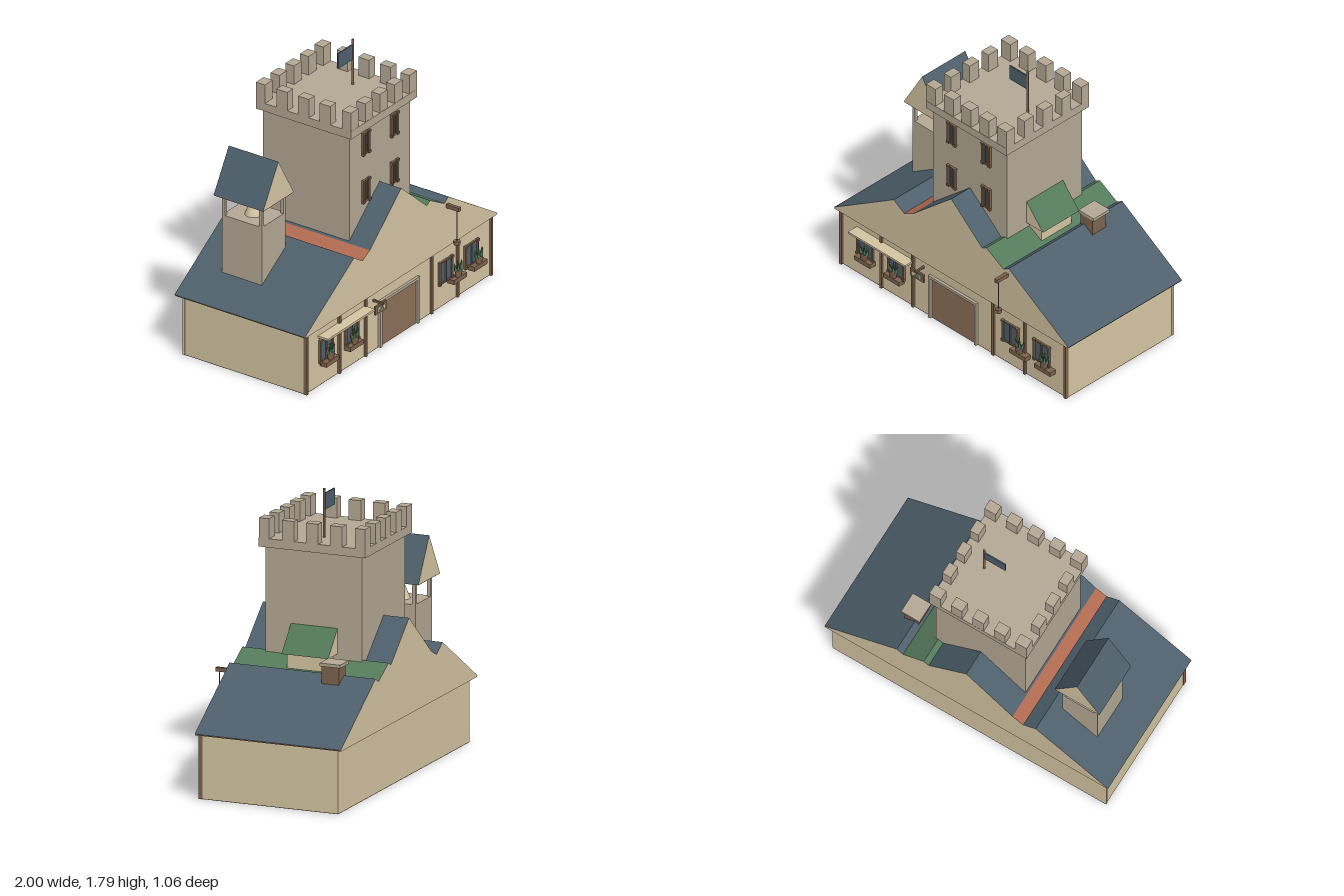
import * as THREE from 'three';

const material = (name, color) => {
  const m = new THREE.MeshStandardMaterial({ color });
  m.name = name;
  return m;
};

export function createModel() {
  const model = new THREE.Group();
  model.name = 'tavern';
  const plaster = material('plaster', 0xd4c5a2);
  const stone = material('stone', 0xb4a894);
  const slate = material('slate', 0x4e606c);
  const green = material('green', 0x547a5b);
  const terracotta = material('terracotta', 0xb06a50);
  const wood = material('wood', 0x7e634e);
  const doorWood = material('doorWood', 0x8c7058);

  const add = (name, geometry, mat, parent = model) => {
    const mesh = new THREE.Mesh(geometry, mat);
    mesh.name = name;
    parent.add(mesh);
    return mesh;
  };
  // Box given by its extents on each axis
  const box = (name, mat, [x0, x1], [y0, y1], [z0, z1], parent = model) => {
    const g = new THREE.BoxGeometry(x1 - x0, y1 - y0, z1 - z0);
    g.translate((x0 + x1) / 2, (y0 + y1) / 2, (z0 + z1) / 2);
    return add(name, g, mat, parent);
  };
  // Gable roof: plaster ends, coloured slopes
  const gable = (name, mat, left, peakX, right, base, peakY, z0, z1) => {
    const shape = new THREE.Shape([
      new THREE.Vector2(left, base), new THREE.Vector2(right, base), new THREE.Vector2(peakX, peakY),
    ]);
    const g = new THREE.ExtrudeGeometry(shape, { depth: z1 - z0, bevelEnabled: false });
    g.translate(0, 0, z0);
    return add(name, g, [plaster, mat]);
  };

  // Main hall with a timber floor and soffit
  box('hallWalls', plaster, [-0.962, 0.962], [0.004, 0.402], [-0.48, 0.41]);
  box('backWall', plaster, [-0.966, 0.966], [0.004, 0.402], [-0.495, -0.478]);
  box('floor', wood, [-0.962, 0.962], [0, 0.004], [-0.495, 0.41]);
  box('eaves', wood, [-0.995, 0.995], [0.401, 0.41], [-0.522, 0.427]);
  box('frontFascia', plaster, [-0.995, 0.995], [0.401, 0.41], [0.427, 0.435]);
  box('backFascia', plaster, [-0.995, 0.995], [0.401, 0.41], [-0.53, -0.522]);
  for (const x of [-0.957, -0.615, -0.345, 0.34, 0.61, 0.957]) {
    box('wallPost', wood, [x - 0.009, x + 0.009], [0, 0.392], [0.4, 0.425]);
  }

  // Interlocking roofs
  gable('leftRoof', slate, -1, -0.49, 0.02, 0.41, 0.735, -0.53, 0.435);
  gable('rightRoof', slate, -0.02, 0.49, 1, 0.41, 0.735, -0.53, 0.435);
  gable('centreRoof', slate, -0.68, 0, 0.68, 0.41, 1, -0.53, 0.435);
  gable('terracottaRoof', terracotta, -0.94, -0.28, 0.38, 0.41, 0.74, -0.53, 0.435);
  gable('greenRoof', green, -0.37, 0.3, 0.97, 0.41, 0.79, -0.53, 0.435);

  // Tower with battlements
  box('towerWalls', stone, [-0.315, 0.315], [0.41, 1.436], [-0.362, 0.275]);
  box('towerParapet', stone, [-0.343, 0.343], [1.436, 1.49], [-0.395, 0.308]);
  for (let i = 0; i < 5; i++) {
    for (let j = 0; j < 5; j++) {
      if (i % 4 && j % 4) continue;
      const x = -0.303 + i * 0.1515;
      const z = -0.362 + j * 0.159;
      const dx = 0.04 - (j % 4 ? 0.01 : 0);
      const dz = i % 4 ? 0.032 : j % 4 ? 0.04 : 0.033;
      const ox = j % 4 ? Math.sign(x) * 0.01 : 0;
      box('merlon', stone, [x + ox - dx, x + ox + dx], [1.49, 1.615], [z - dz, z + dz]);
    }
  }

  // Flag
  const pole = add('flagPole', new THREE.CylinderGeometry(0.008, 0.008, 0.305, 8), wood);
  pole.position.set(0.17, 1.6425, -0.045);
  box('flag', slate, [0.018, 0.165], [1.66, 1.762], [-0.049, -0.041]);

  // Windows: glass, vertical bars and rails
  const addWindow = (x, y0, y1, w, z) => {
    const group = new THREE.Group();
    group.name = 'window';
    model.add(group);
    box('glass', slate, [x - w / 2, x + w / 2], [y0, y1], [z, z + 0.005], group);
    for (const px of [x - w / 2, x, x + w / 2]) {
      const r = px === x ? 0.004 : 0.007;
      box('windowBar', wood, [px - r, px + r], [y0 - 0.004, y1 + 0.004], [z, z + 0.014], group);
    }
    for (const y of [y0, y1]) {
      box('windowRail', wood, [x - w / 2 - 0.007, x + w / 2 + 0.007], [y - 0.005, y + 0.005], [z, z + 0.012], group);
      for (const s of [-1, 1]) {
        const px = x + s * w / 2;
        box('railEnd', wood, [px - 0.01, px + 0.01], [y - 0.008, y + 0.008], [z, z + 0.018], group);
      }
    }
  };
  for (const x of [-0.15, 0.145]) {
    addWindow(x, 0.935, 1.075, 0.058, 0.275);
    addWindow(x, 1.258, 1.398, 0.058, 0.275);
  }
  for (const x of [-0.753, -0.487, 0.487, 0.753]) addWindow(x, 0.16, 0.302, 0.126, 0.41);

  // Flower boxes with a pot and broad pointed leaves
  for (const x of [-0.74, -0.49, 0.585, 0.797]) {
    const group = new THREE.Group();
    group.name = 'flowerBox';
    group.position.set(x, 0, 0.442);
    model.add(group);
    box('planter', wood, [-0.068, 0.068], [0.13, 0.16], [-0.032, 0.015], group);
    const pot = add('pot', new THREE.CylinderGeometry(0.033, 0.024, 0.048, 10), wood, group);
    pot.scale.z = 0.6;
    pot.position.y = 0.183;
    for (let i = 0; i < 5; i++) {
      const h = 0.075 - Math.abs(i - 2) * 0.008;
      const g = new THREE.ConeGeometry(0.014, h, 4);
      g.translate(0, h / 2, 0);
      const leaf = add('leaf', g, green, group);
      leaf.position.set((i - 2) * 0.012, 0.202, i % 2 ? 0.006 : -0.002);
      leaf.rotation.set(i % 2 ? 0.15 : -0.05, 0, (2 - i) * 0.13);
    }
  }

  // Door in a stone frame
  box('door', doorWood, [-0.19, 0.19], [0, 0.297], [0.406, 0.413]);
  for (const s of [-1, 1]) {
    box('doorJamb', stone, [s * 0.195 - 0.009, s * 0.195 + 0.009], [0, 0.314], [0.4, 0.428]);
  }
  box('doorLintel', stone, [-0.204, 0.204], [0.296, 0.314], [0.4, 0.428]);

  // Awning board
  box('awning', plaster, [-0.83, -0.345], [0.328, 0.342], [0.41, 0.485]);

  // Hanging sign
  box('signBracket', wood, [-0.263, -0.251], [0.335, 0.348], [0.41, 0.485]);
  box('signBoard', wood, [-0.315, -0.2], [0.28, 0.337], [0.458, 0.47]);
  box('signPanel', plaster, [-0.296, -0.224], [0.294, 0.321], [0.468, 0.473]);
  const emblem = add('signLeaf', new THREE.ConeGeometry(0.014, 0.042, 4), green);
  emblem.position.set(-0.255, 0.325, 0.474);
  emblem.scale.z = 0.4;
  box('signMount', stone, [-0.28, -0.236], [0.298, 0.306], [0.47, 0.477]);

  // Hanging lantern
  box('lanternBeam', wood, [0.463, 0.487], [0.67, 0.695], [0.42, 0.53]);
  box('lanternRod', wood, [0.473, 0.477], [0.46, 0.675], [0.506, 0.51]);
  const lantern = add('lantern', new THREE.CylinderGeometry(0.021, 0.021, 0.024, 12), wood);
  lantern.position.set(0.476, 0.453, 0.508);
  box('lanternPane', stone, [0.466, 0.486], [0.447, 0.459], [0.486, 0.53]);

  // Side dormer against the tower
  box('dormerWalls', plaster, [0.2, 0.42], [0.6, 0.82], [-0.17, 0.085]);
  gable('dormerRoof', green, 0.145, 0.3, 0.455, 0.815, 0.99, -0.2, 0.108);

  // Chimney
  box('chimney', wood, [0.462, 0.562], [0.6, 0.8], [-0.32, -0.205]);
  box('chimneyCap', stone, [0.448, 0.578], [0.8, 0.82], [-0.336, -0.2]);

  // Bell turret
  box('turretWalls', stone, [-0.797, -0.552], [0.41, 0.93], [-0.322, -0.028]);
  for (const x of [-0.786, -0.563]) {
    for (const z of [-0.311, -0.039]) {
      box('turretPost', stone, [x - 0.011, x + 0.011], [0.93, 1.065], [z - 0.011, z + 0.011]);
    }
  }
  gable('turretRoof', slate, -0.834, -0.676, -0.518, 1.067, 1.337, -0.358, 0.008);
  box('turretCeiling', wood, [-0.83, -0.522], [1.062, 1.068], [-0.356, 0.006]);
  const bell = add('bell', new THREE.CylinderGeometry(0.022, 0.055, 0.082, 16), plaster);
  bell.position.set(-0.675, 0.971, -0.175);

  return model;
}
